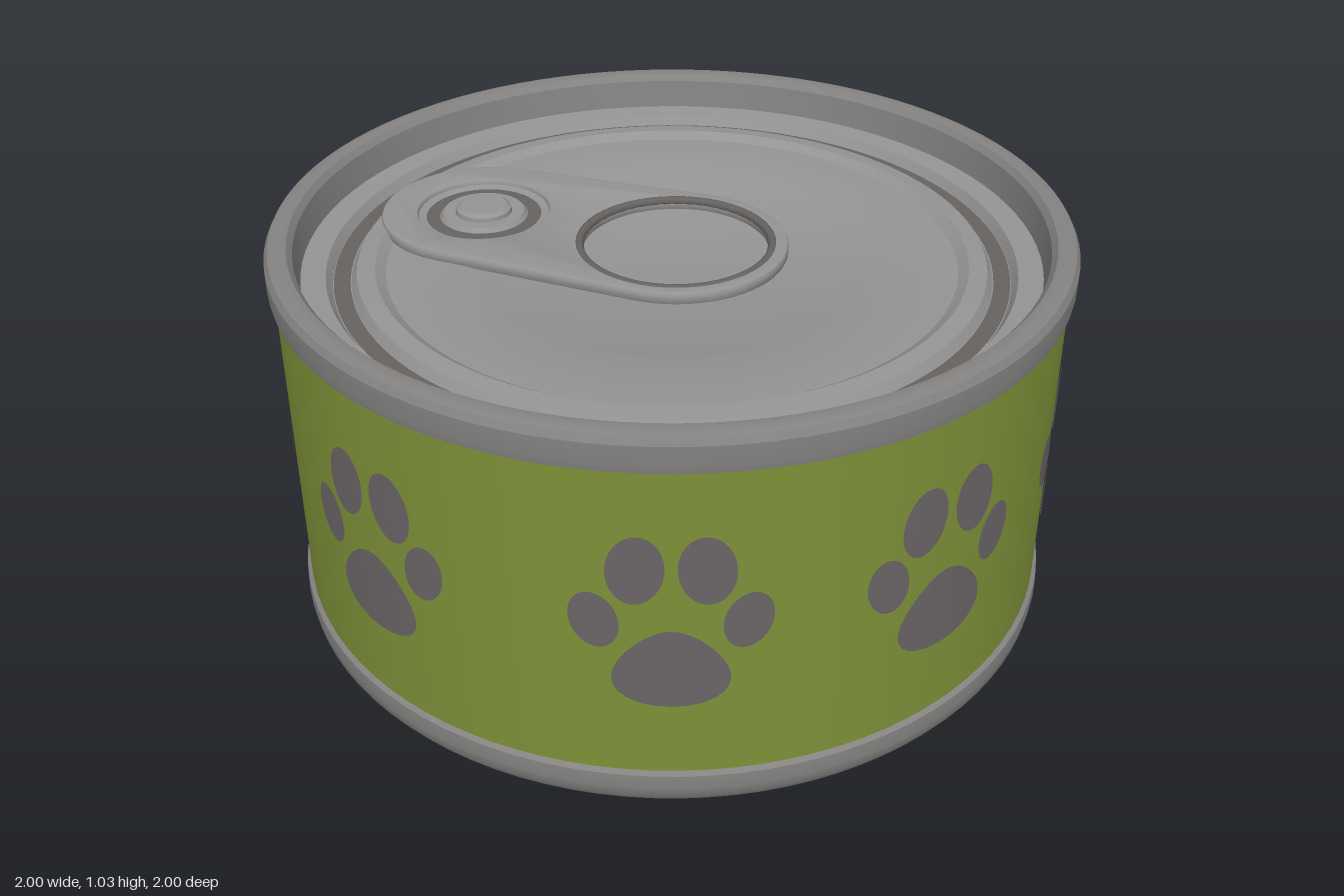
import * as THREE from 'three';
import { mergeGeometries, toCreasedNormals } from 'three/addons/utils/BufferGeometryUtils.js';

const SEGMENTS = 96;
const PAW_RADIUS = 0.989;

function makeMaterial(name, color) {
  const m = new THREE.MeshStandardMaterial({ color });
  m.name = name;
  return m;
}

function part(name, geometry, material) {
  const mesh = new THREE.Mesh(geometry, material);
  mesh.name = name;
  return mesh;
}

// Revolved part from [radius, height] pairs, listed so that faces point outwards (bottom to top outside).
function lathe(points, segments = SEGMENTS) {
  const g = new THREE.LatheGeometry(points.map(([r, y]) => new THREE.Vector2(r, y)), segments);
  return toCreasedNormals(g, 0.5);
}

// Flat disc patch shaped as a tilted ellipse; taper narrows its upper end.
function blob(x, y, rx, ry, tilt = 0, taper = 0) {
  const g = new THREE.RingGeometry(0.001, 1, 28, 5);
  const p = g.attributes.position;
  for (let i = 0; i < p.count; i++) {
    p.setX(i, p.getX(i) * (1 - taper * p.getY(i)));
  }
  return g.scale(rx, ry, 1).rotateZ(tilt).translate(x, y, 0);
}

// Wrap a flat print around the can.
function wrap(g, angle) {
  const p = g.attributes.position;
  for (let i = 0; i < p.count; i++) {
    const a = angle + p.getX(i) / PAW_RADIUS;
    p.setXYZ(i, Math.sin(a) * PAW_RADIUS, p.getY(i), Math.cos(a) * PAW_RADIUS);
  }
  g.computeVertexNormals();
  return g;
}

function pawGeometry(angle) {
  const blobs = [blob(0, 0.41, 0.128, 0.108, 0, 0.3)];
  for (const s of [-1, 1]) {
    blobs.push(blob(s * 0.078, 0.68, 0.064, 0.09, s * 0.1));
    blobs.push(blob(s * 0.17, 0.54, 0.055, 0.076, -s * 0.25));
  }
  return wrap(mergeGeometries(blobs), angle);
}

export function createModel() {
  const group = new THREE.Group();
  group.name = 'foodCan';
  const green = makeMaterial('labelGreen', 0x7d9038);
  const pawGrey = makeMaterial('pawGrey', 0x6a6465);
  const metal = makeMaterial('lidMetal', 0x949494);
  const rimMetal = makeMaterial('rimMetal', 0x848382);
  const darkMetal = makeMaterial('darkMetal', 0x66625f);

  // Label wall
  group.add(part('label', lathe([[0.985, 0.09], [0.985, 0.94]]), green));

  // Paw prints around the label
  const pawAngles = [-45, -1, 38, 77, 122, 161, 197, 235, 273];
  pawAngles.forEach((deg, i) => {
    group.add(part(`pawPrint${i + 1}`, pawGeometry(THREE.MathUtils.degToRad(deg)), pawGrey));
  });

  // Rolled rims
  group.add(part('topRim', lathe([
    [0.983, 0.93], [0.997, 0.937], [1, 0.955], [1, 1.005], [0.99, 1.023], [0.97, 1.03],
    [0.945, 1.026], [0.932, 1.01], [0.92, 0.93],
  ]), rimMetal));
  group.add(part('bottomRim', lathe([
    [0.9, 0.05], [0.915, 0.015], [0.93, 0.003], [0.955, 0], [0.978, 0.008], [0.993, 0.03],
    [0.998, 0.06], [0.996, 0.095], [0.983, 0.105],
  ]), rimMetal));

  // Recessed lid with stepped rings
  group.add(part('lid', lathe([
    [0.922, 0.935], [0.86, 0.93], [0.845, 0.905], [0.80, 0.905], [0.785, 0.93], [0.74, 0.935],
    [0.715, 0.918], [0.51, 0.918], [0.495, 0.912], [0, 0.912],
  ]), metal));
  group.add(part('lidGroove', lathe([[0.843, 0.907], [0.802, 0.907]]), darkMetal));

  // Base with stepped rings
  group.add(part('base', lathe([
    [0, 0.03], [0.52, 0.03], [0.535, 0.036], [0.76, 0.036], [0.79, 0.024], [0.83, 0.024],
    [0.85, 0.05], [0.905, 0.05],
  ]), darkMetal));

  // Pull tab: rivet end at the local origin, finger ring along +x
  const tab = new THREE.Group();
  tab.name = 'pullTab';
  tab.position.set(-0.49, 0.92, -0.22);
  tab.rotation.y = -0.363;
  const reach = 0.535;
  const outline = new THREE.Shape();
  outline.absarc(0, 0, 0.255, Math.PI / 2, Math.PI * 1.5, false);
  outline.absarc(reach, 0, 0.275, -Math.PI / 2, Math.PI / 2, false);
  outline.closePath();
  const fingerHole = new THREE.Path();
  fingerHole.absarc(reach, 0, 0.245, 0, Math.PI * 2, true);
  const rivetHole = new THREE.Path();
  rivetHole.absarc(0, 0, 0.18, 0, Math.PI * 2, true);
  outline.holes.push(fingerHole, rivetHole);
  const plate = new THREE.ExtrudeGeometry(outline, {
    depth: 0.016, bevelEnabled: true, bevelThickness: 0.008, bevelSize: 0.01, bevelSegments: 2, curveSegments: 40,
  });
  tab.add(part('tabPlate', toCreasedNormals(plate.rotateX(-Math.PI / 2), 0.6), metal));

  // Finger ring edge
  const edge = part('fingerRingEdge', new THREE.TorusGeometry(0.245, 0.012, 8, 48).rotateX(Math.PI / 2), darkMetal);
  edge.position.set(reach, 0.016, 0);
  tab.add(edge);

  // Rivet and its dished seat
  tab.add(part('rivetSeat', lathe([
    [0.18, 0.015], [0.15, 0.005], [0.115, 0.005], [0.105, 0.018], [0.075, 0.018],
  ], 40), metal));
  tab.add(part('rivetGroove', lathe([[0.15, 0.007], [0.115, 0.007]], 40), darkMetal));
  tab.add(part('rivet', lathe([[0.075, 0.005], [0.072, 0.028], [0.06, 0.036], [0, 0.036]], 32), metal));
  group.add(tab);
  return group;
}
